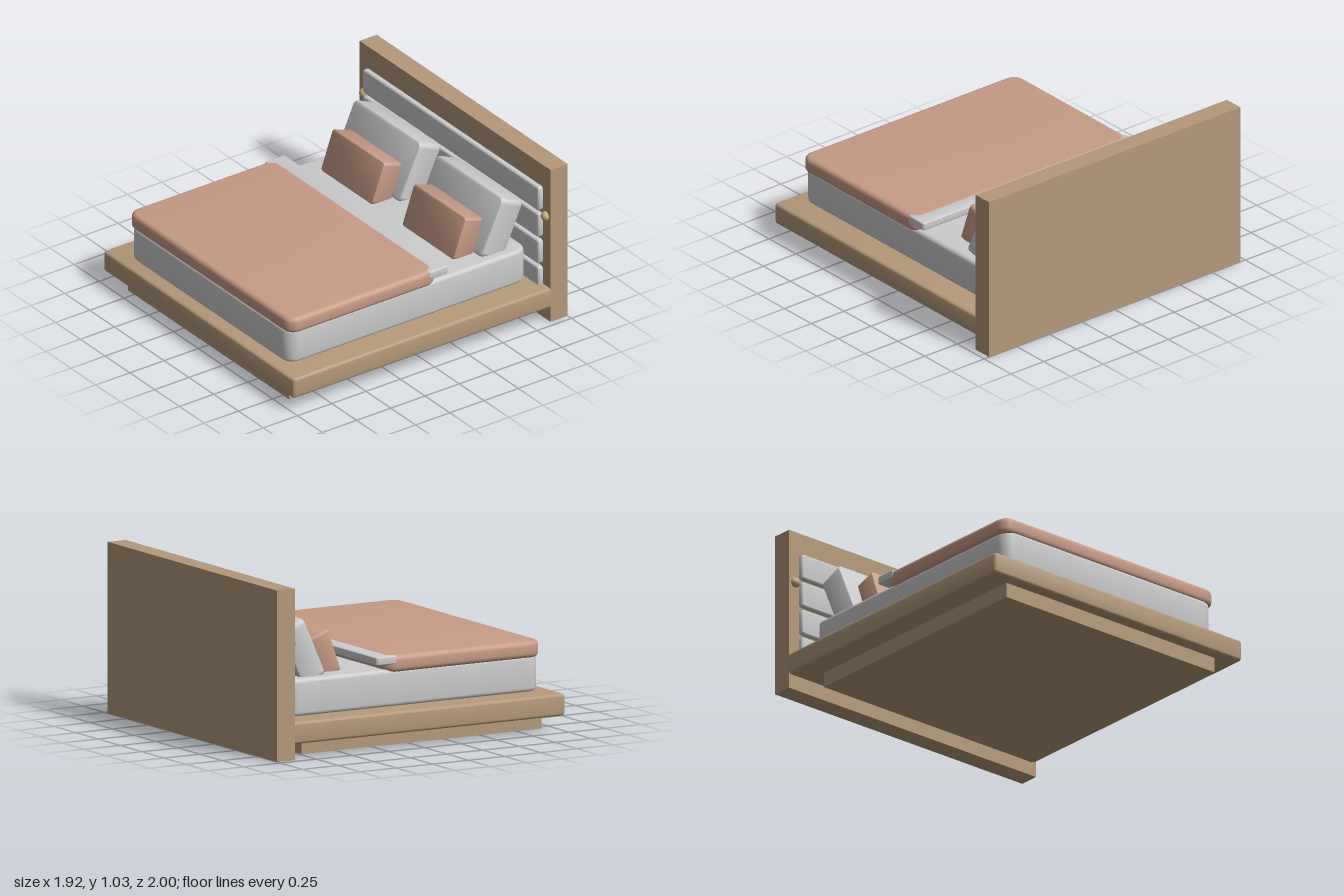
import * as THREE from 'three';
import { toCreasedNormals } from 'three/addons/utils/BufferGeometryUtils.js';

const mat = (color) => new THREE.MeshStandardMaterial({ color });

// Rounded rectangle outline, centred on the origin
function roundedRect(w, h, r) {
  const x = w / 2, y = h / 2, s = new THREE.Shape();
  s.moveTo(-x + r, -y);
  s.lineTo(x - r, -y);
  s.absarc(x - r, -y + r, r, -Math.PI / 2, 0);
  s.lineTo(x, y - r);
  s.absarc(x - r, y - r, r, 0, Math.PI / 2);
  s.lineTo(-x + r, y);
  s.absarc(-x + r, y - r, r, Math.PI / 2, Math.PI);
  s.lineTo(-x, -y + r);
  s.absarc(-x + r, -y + r, r, Math.PI, Math.PI * 1.5);
  return s;
}

// Panel facing +z with rounded corners (r) and softened edges (b), centred
function panel(w, h, d, r, b) {
  const geo = new THREE.ExtrudeGeometry(roundedRect(w - 2 * b, h - 2 * b, r - b), {
    depth: d - 2 * b, bevelEnabled: true, bevelThickness: b, bevelSize: b,
    bevelSegments: 4, curveSegments: 6,
  });
  geo.translate(0, 0, b - d / 2);
  return toCreasedNormals(geo, 0.7);
}

export function createModel() {
  const bed = new THREE.Group();
  bed.name = 'bed';
  const wood = mat(0xb4997a), white = mat(0xcccccc), rose = mat(0xc69c86), brass = mat(0xbfae7c);

  const add = (name, geo, material, x, y, z) => {
    const mesh = new THREE.Mesh(geo, material);
    mesh.name = name;
    mesh.position.set(x, y, z);
    bed.add(mesh);
    return mesh;
  };
  const box = (name, w, y0, y1, z0, z1) =>
    add(name, new THREE.BoxGeometry(w, y1 - y0, z1 - z0), wood, 0, (y0 + y1) / 2, (z0 + z1) / 2);
  // Horizontal slab given by its height and depth ranges
  const slab = (name, material, w, y0, y1, z0, z1, r, b) =>
    add(name, panel(w, z1 - z0, y1 - y0, r, b).rotateX(-Math.PI / 2), material,
      0, (y0 + y1) / 2, (z0 + z1) / 2);

  // Wooden frame
  box('headboard', 1.924, 0, 1.03, -1, -0.875);
  box('plinth', 1.62, 0, 0.1, -0.735, 0.925);
  slab('platform', wood, 1.924, 0.093, 0.226, -0.93, 1, 0.022, 0.018);

  // Bedding
  slab('mattress', white, 1.615, 0.226, 0.45, -0.828, 0.922, 0.08, 0.025);
  slab('duvet', rose, 1.65, 0.432, 0.535, -0.155, 0.925, 0.075, 0.03);
  slab('foldedSheet', white, 1.656, 0.484, 0.534, -0.226, -0.085, 0.012, 0.008);

  // Upholstered headboard slats
  for (let i = 0; i < 4; i++) {
    add('headboardSlat', panel(1.776, 0.16, 0.04, 0.02, 0.012), white, 0, 0.805 - i * 0.18, -0.86);
  }

  // Pillows, cushions and lamp knobs, mirrored left and right
  for (const side of [-1, 1]) {
    const pillow = add('pillow', panel(0.67, 0.385, 0.165, 0.035, 0.012), white, side * 0.413, 0.592, -0.68);
    pillow.rotation.x = -0.42;
    const cushion = add('cushion', panel(0.52, 0.27, 0.136, 0.02, 0.006), rose, side * 0.41, 0.555, -0.487);
    cushion.rotation.x = -0.34;
    add('knob', new THREE.SphereGeometry(0.031, 24, 16), brass, side * 0.915, 0.698, -0.875);
  }
  return bed;
}
